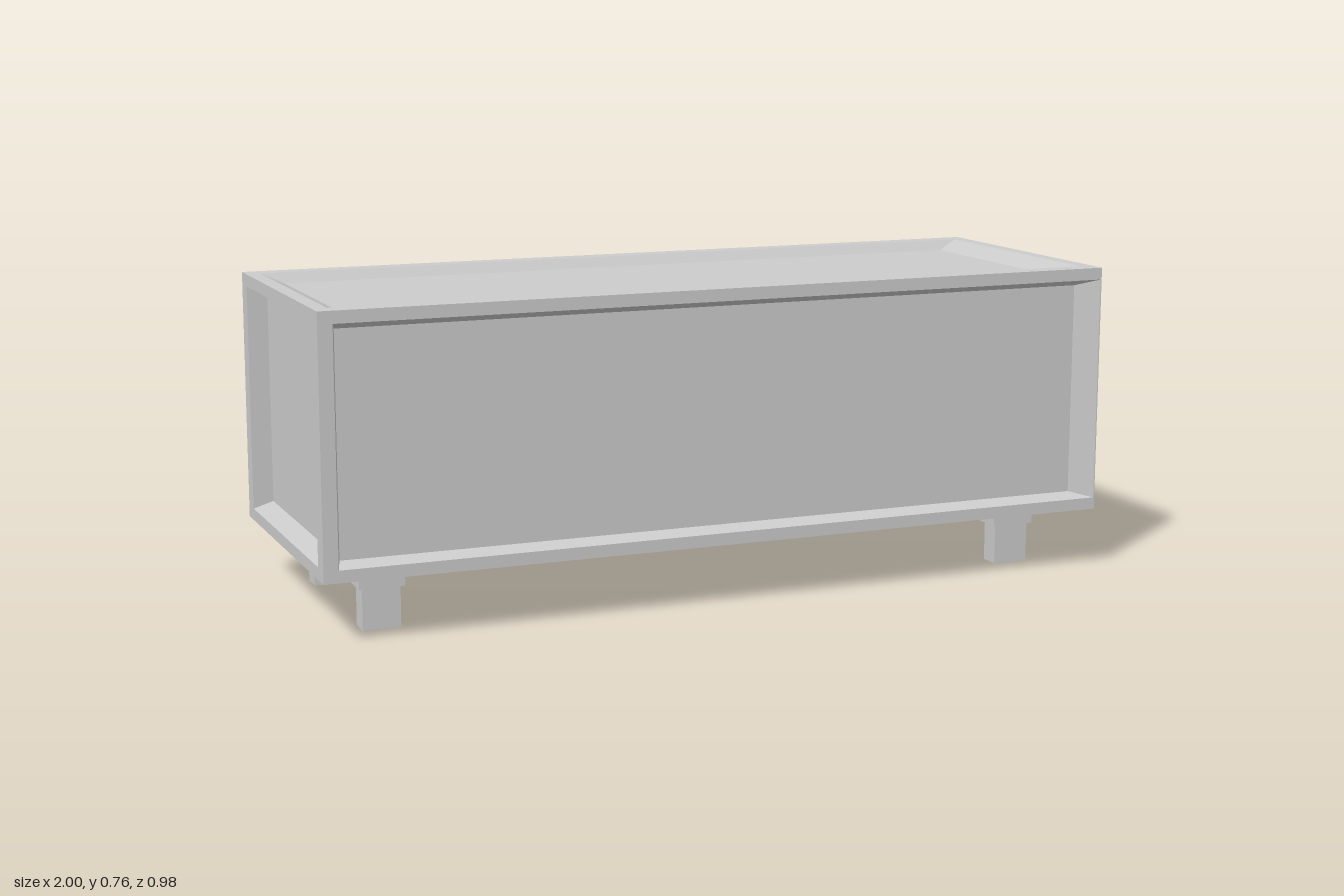
import * as THREE from 'three';

const material = new THREE.MeshStandardMaterial({ color: 0xcccccc, flatShading: true });

// Box given by its limits on each axis
function box(parent, name, [x0, x1], [y0, y1], [z0, z1]) {
  const mesh = new THREE.Mesh(new THREE.BoxGeometry(x1 - x0, y1 - y0, z1 - z0), material);
  mesh.position.set((x0 + x1) / 2, (y0 + y1) / 2, (z0 + z1) / 2);
  mesh.name = name;
  parent.add(mesh);
  return mesh;
}

// Cabin side: flat rim, sloped walls and a sunken panel.
// u, v, n are the face axes; each rectangle is [u0, u1, v0, v1] about the cabin centre.
function recessedSide(name, u, v, n, distance, depth, outer, opening, inner) {
  const loop = ([u0, u1, v0, v1], d) =>
    [[u0, v0], [u1, v0], [u1, v1], [u0, v1]].map(([a, b]) =>
      new THREE.Vector3().addScaledVector(u, a).addScaledVector(v, b).addScaledVector(n, d));
  const loops = [loop(outer, distance), loop(opening, distance), loop(inner, distance - depth)];
  const points = [];
  const quad = (a, b, c, d) => points.push(a, b, c, a, c, d);
  for (let k = 0; k < 2; k++) {
    for (let i = 0; i < 4; i++) {
      const j = (i + 1) % 4;
      quad(loops[k][i], loops[k][j], loops[k + 1][j], loops[k + 1][i]);
    }
  }
  quad(...loops[2]);
  const geometry = new THREE.BufferGeometry().setFromPoints(points);
  geometry.computeVertexNormals();
  const mesh = new THREE.Mesh(geometry, material);
  mesh.name = name;
  return mesh;
}

function createCabin() {
  const cabin = new THREE.Group();
  cabin.name = 'cabin';
  cabin.position.set(0, 0.4575, 0.125);
  const axis = (x, y, z) => new THREE.Vector3(x, y, z);
  const X = axis(1, 0, 0), Y = axis(0, 1, 0), Z = axis(0, 0, 1);
  const NX = axis(-1, 0, 0), NY = axis(0, -1, 0), NZ = axis(0, 0, -1);
  const [w, h, d] = [1, 0.3075, 0.365];
  const rect = (a, b) => [-a, a, -b, b];
  cabin.add(
    recessedSide('frontWall', X, Y, Z, d, 0.03, rect(w, h),
      [-0.965, 0.997, -0.278, 0.278], [-0.955, 0.94, -0.263, 0.263]),
    recessedSide('backWall', NX, Y, NZ, d, 0.03, rect(w, h),
      [-0.997, 0.965, -0.278, 0.278], [-0.94, 0.955, -0.263, 0.263]),
    recessedSide('leftEndWall', NZ, Y, X, w, 0.05, rect(d, h), rect(0.318, 0.278), rect(0.317, 0.263)),
    recessedSide('rightEndWall', Z, Y, NX, w, 0.05, rect(d, h), rect(0.318, 0.278), rect(0.317, 0.263)),
    recessedSide('roof', X, NZ, Y, h, 0.025, rect(w, d), rect(0.965, 0.318), rect(0.91, 0.3)),
    recessedSide('floor', X, Z, NY, h, 0.025, rect(w, d), rect(0.965, 0.318), rect(0.91, 0.3))
  );
  return cabin;
}

// Rectangular border made of four bars
function border(parent, name, [x0, x1], [y0, y1], z, t) {
  box(parent, name, [x0, x0 + t], [y0, y1], z);
  box(parent, name, [x1 - t, x1], [y0, y1], z);
  box(parent, name, [x0 + t, x1 - t], [y0, y0 + t], z);
  box(parent, name, [x0 + t, x1 - t], [y1 - t, y1], z);
}

function createWindow(x0, x1) {
  const win = new THREE.Group();
  win.name = 'window';
  const mid = (x0 + x1) / 2;
  border(win, 'windowFrame', [x0, x1], [0.357, 0.63], [-0.243, -0.2], 0.012);
  box(win, 'windowPane', [x0 + 0.01, x1 - 0.01], [0.365, 0.62], [-0.225, -0.2]);
  // Two sashes meeting at the middle
  border(win, 'sash', [x0 + 0.012, mid], [0.369, 0.618], [-0.235, -0.22], 0.011);
  border(win, 'sash', [mid, x1 - 0.012], [0.369, 0.618], [-0.235, -0.22], 0.011);
  box(win, 'windowHandle', [mid - 0.004, mid + 0.004], [0.47, 0.52], [-0.245, -0.235]);
  box(win, 'windowSill', [x0 - 0.003, x1 + 0.003], [0.352, 0.36], [-0.248, -0.21]);
  return win;
}

function createDoor() {
  const door = new THREE.Group();
  door.name = 'door';
  box(door, 'doorPanel', [-0.74, -0.58], [0.185, 0.63], [-0.23, -0.2]);
  border(door, 'doorFrame', [-0.752, -0.57], [0.18, 0.642], [-0.24, -0.2], 0.012);
  border(door, 'doorWindowFrame', [-0.715, -0.605], [0.495, 0.58], [-0.243, -0.22], 0.008);
  // Knob on a short stem
  const stem = new THREE.Mesh(new THREE.CylinderGeometry(0.004, 0.004, 0.02, 10), material);
  stem.rotation.x = Math.PI / 2;
  stem.position.set(-0.602, 0.417, -0.237);
  stem.name = 'knobStem';
  const knob = new THREE.Mesh(new THREE.SphereGeometry(0.008, 12, 8), material);
  knob.position.set(-0.602, 0.417, -0.244);
  knob.name = 'doorKnob';
  door.add(stem, knob);
  return door;
}

function createBase() {
  const base = new THREE.Group();
  base.name = 'base';
  for (const x of [-0.835, 0.83]) {
    box(base, 'crossBeam', [x - 0.055, x + 0.055], [0.1, 0.176], [-0.13, 0.38]);
    for (const z of [-0.098, 0.345]) {
      box(base, 'foot', [x - 0.046, x + 0.046], [0, 0.1], [z - 0.026, z + 0.026]);
    }
  }
  box(base, 'longBeam', [-0.78, 0.775], [0.1, 0.176], [0.07, 0.18]);
  return base;
}

function createSteps() {
  const steps = new THREE.Group();
  steps.name = 'entranceSteps';
  box(steps, 'platform', [-0.757, -0.545], [0.16, 0.176], [-0.487, -0.282]);
  for (const z of [-0.489, -0.279]) {
    box(steps, 'post', [-0.759, -0.752], [0, 0.168], [z - 0.0035, z + 0.0035]);
  }
  // Treads going down toward the left, with the end rails at the same heights
  [0.123, 0.079, 0.033].forEach((y, i) => {
    const x = -0.52 + i * 0.075;
    box(steps, 'tread', [x, x + 0.066], [y - 0.003, y + 0.003], [-0.49, -0.282]);
    box(steps, 'endRail', [-0.757, -0.753], [y - 0.002, y + 0.002], [-0.489, -0.279]);
  });
  box(steps, 'sideRail', [-0.757, -0.475], [0.121, 0.125], [-0.492, -0.488]);
  box(steps, 'sideRail', [-0.757, -0.41], [0.077, 0.081], [-0.492, -0.488]);
  // Sloping stringer
  const stringer = new THREE.Mesh(new THREE.BoxGeometry(Math.hypot(0.205, 0.14), 0.006, 0.005), material);
  stringer.position.set(-0.4425, 0.101, -0.49);
  stringer.rotation.z = -Math.atan2(0.14, 0.205);
  stringer.name = 'stringer';
  steps.add(stringer);
  return steps;
}

export function createModel() {
  const model = new THREE.Group();
  model.name = 'portableCabin';
  model.add(createCabin(), createBase(), createDoor(), createSteps());
  model.add(createWindow(-0.305, 0.01), createWindow(0.463, 0.78));
  return model;
}
